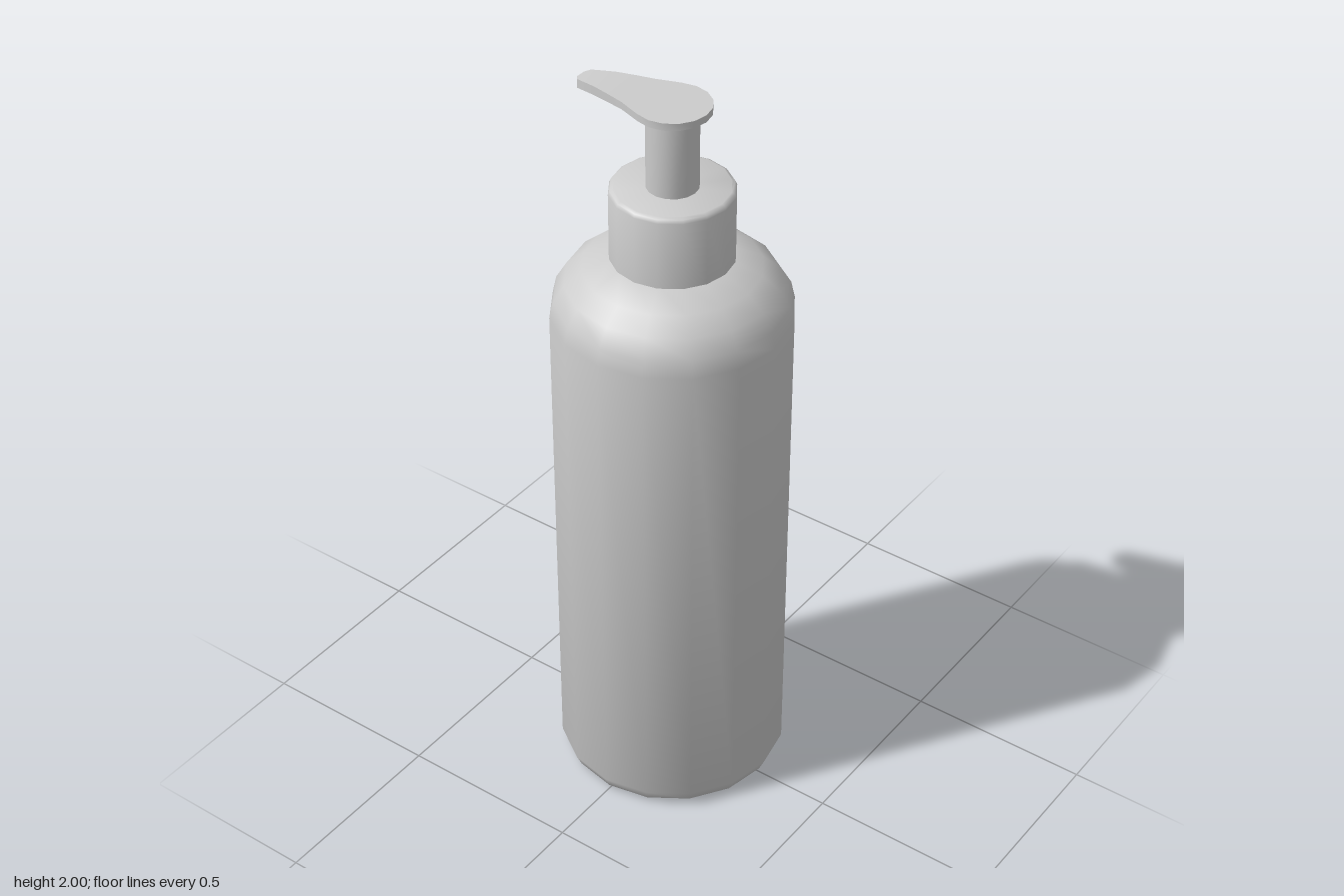
import * as THREE from 'three';
import { toCreasedNormals } from 'three/addons/utils/BufferGeometryUtils.js';

const SIDES = 16;
const CREASE = 0.85;

function addPart(group, name, geometry) {
  const material = new THREE.MeshStandardMaterial({ color: 0xcccccc });
  const mesh = new THREE.Mesh(toCreasedNormals(geometry, CREASE), material);
  mesh.name = name;
  group.add(mesh);
}

function turned(profile) {
  return new THREE.LatheGeometry(profile.map(([r, y]) => new THREE.Vector2(r, y)), SIDES);
}

// Loft of rectangular sections along x: each station is [x, halfWidth, top, bottom]
function loft(stations) {
  const positions = [];
  const index = [];
  for (const [x, w, top, bottom] of stations) {
    positions.push(x, top, -w, x, top, w, x, bottom, w, x, bottom, -w);
  }
  const last = (stations.length - 1) * 4;
  for (let s = 0; s < last; s += 4) {
    for (let j = 0; j < 4; j++) {
      const k = (j + 1) % 4;
      index.push(s + j, s + k, s + 4 + k, s + j, s + 4 + k, s + 4 + j);
    }
  }
  index.push(0, 2, 1, 0, 3, 2, last, last + 1, last + 2, last, last + 2, last + 3);
  const geometry = new THREE.BufferGeometry();
  geometry.setAttribute('position', new THREE.Float32BufferAttribute(positions, 3));
  geometry.setIndex(index);
  return geometry;
}

export function createModel() {
  const group = new THREE.Group();
  group.name = 'pumpBottle';

  // Bottle with a bevelled foot and a rounded shoulder
  addPart(group, 'bottle', turned([
    [0, 0], [0.278, 0], [0.292, 0.012], [0.307, 0.045], [0.307, 1.42],
    [0.297, 1.465], [0.27, 1.51], [0.225, 1.548], [0.15, 1.582], [0, 1.582],
  ]));

  // Screw collar
  addPart(group, 'collar', turned([
    [0, 1.56], [0.157, 1.56], [0.157, 1.762], [0.153, 1.771], [0.145, 1.775], [0, 1.775],
  ]));

  // Pump stem
  const stem = new THREE.CylinderGeometry(0.066, 0.066, 0.225, SIDES, 1, true);
  stem.translate(0, 1.8725, 0);
  addPart(group, 'stem', stem);

  // Pump head: drooping spout that widens into a round pad
  const stations = [
    [-0.273, 0.014, 1.986, 1.963],
    [-0.262, 0.028, 1.989, 1.965],
    [-0.2, 0.043, 1.997, 1.973],
    [-0.15, 0.055, 1.999, 1.977],
    [-0.1, 0.067, 2, 1.98],
    [-0.07, 0.078, 2, 1.981],
  ];
  for (let i = -1; i <= 4; i++) {
    const a = (i * Math.PI) / 8;
    stations.push([0.097 * Math.sin(a), 0.097 * Math.cos(a), 2, 1.981]);
  }
  addPart(group, 'pumpHead', loft(stations));

  return group;
}
